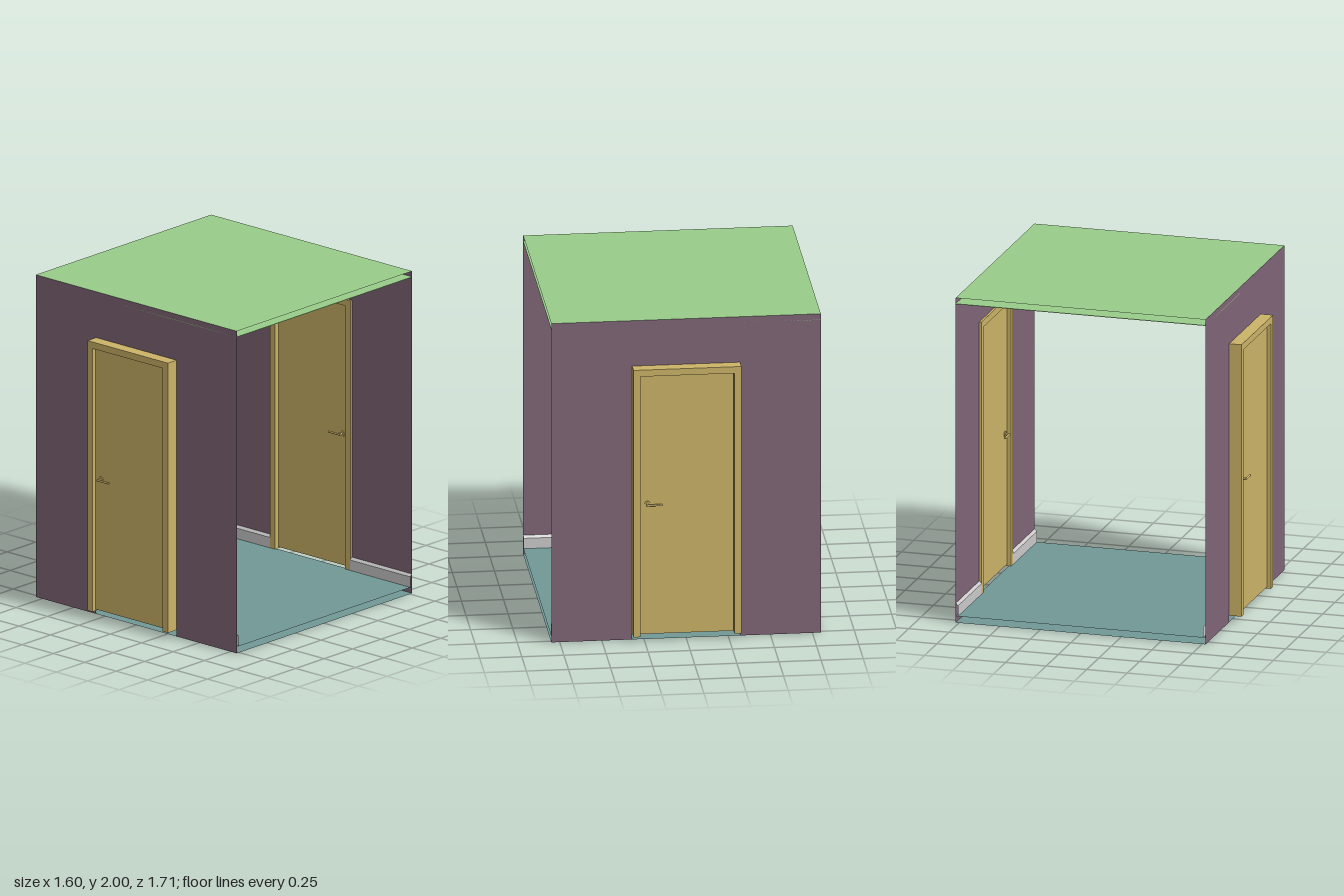
import * as THREE from 'three';

const mat = (color) => new THREE.MeshStandardMaterial({ color, side: THREE.DoubleSide });
const HX = 0.8, HZ = 0.771, H = 2;            // half width, half depth, height
const FLOOR = 0.04, CEIL = 1.963;             // finished floor and hung ceiling

export function createModel() {
  const wallMat = mat(0x806577), doorMat = mat(0xcbb367), greenMat = mat(0x98cc8a);
  const floorMat = mat(0x709896), grey = mat(0xcccccc);
  const model = new THREE.Group();
  model.name = 'room';

  const add = (parent, name, geo, material, x = 0, y = 0, z = 0) => {
    const m = new THREE.Mesh(geo, material);
    m.name = name;
    m.position.set(x, y, z);
    parent.add(m);
    return m;
  };
  const box = (parent, name, w, h, d, material, x, y, z) =>
    add(parent, name, new THREE.BoxGeometry(w, h, d), material, x, y, z);
  const slab = (name, y, material) =>
    add(model, name, new THREE.PlaneGeometry(2 * HX, 2 * HZ).rotateX(-Math.PI / 2), material, 0, y, 0);
  const polygon = (pts) => new THREE.Shape(pts.map(([x, y]) => new THREE.Vector2(x, y)));
  // Upside-down U, used for the wall around the opening and for the door frame
  const arch = (ox, top, ix, inner, bottom) => polygon([
    [-ox, bottom], [-ix, bottom], [-ix, inner], [ix, inner],
    [ix, bottom], [ox, bottom], [ox, top], [-ox, top]]);

  // Floor and roof sheets
  slab('floorUnderside', 0, floorMat);
  slab('floor', FLOOR, floorMat);
  slab('roof', H, greenMat);

  // Hung ceiling: three by three panels, the middle one is the lamp
  const xs = [-HX, -0.255, 0.255, HX], zs = [-HZ, -0.255, 0.255, HZ];
  for (let i = 0; i < 3; i++) for (let j = 0; j < 3; j++) {
    if (i === 1 && j === 1) continue;
    box(model, 'ceilingPanel', xs[i + 1] - xs[i], 0.003, zs[j + 1] - zs[j], greenMat,
      (xs[i] + xs[i + 1]) / 2, CEIL, (zs[j] + zs[j + 1]) / 2);
  }

  // Ceiling lamp: tapered housing, rim, and louvre grid
  const lamp = new THREE.Group();
  lamp.name = 'ceilingLamp';
  model.add(lamp);
  const housing = new THREE.CylinderGeometry(0.25 * Math.SQRT2, 0.255 * Math.SQRT2, 0.034, 4, 1, true)
    .rotateY(Math.PI / 4).toNonIndexed();
  housing.computeVertexNormals();
  add(lamp, 'lampHousing', housing, grey, 0, 1.98, 0);
  box(lamp, 'lampTop', 0.5, 0.003, 0.5, grey, 0, 1.9955, 0);
  for (const s of [-1, 1]) {
    box(lamp, 'lampRim', 0.53, 0.005, 0.02, grey, 0, 1.96, s * 0.255);
    box(lamp, 'lampRim', 0.02, 0.005, 0.49, grey, s * 0.255, 1.96, 0);
  }
  for (let i = 0; i < 5; i++) {
    const x = -0.24 + i * 0.12;
    box(lamp, 'lampDivider', 0.014, 0.022, 0.49, grey, x, 1.973, 0);
    if (i === 4) continue;
    for (let k = 0; k < 8; k++)
      box(lamp, 'lampLouvre', 0.106, 0.018, 0.005, grey, x + 0.06, 1.973, -0.21 + k * 0.06);
  }

  // Lever handle on one face of the door; side is +1 outside, -1 inside
  const handle = (parent, side) => {
    const g = new THREE.Group();
    g.name = 'handle';
    g.position.set(-0.235, 0.865, 0.802);
    const rod = (name, r, len, z) =>
      add(g, name, new THREE.CylinderGeometry(r, r, len, 20).rotateX(Math.PI / 2), doorMat, 0, 0, side * z);
    rod('rosette', 0.018, 0.008, 0.022);
    rod('handleNeck', 0.007, 0.032, 0.034);
    add(g, 'lever', new THREE.CylinderGeometry(0.006, 0.006, 0.092, 16).rotateZ(Math.PI / 2),
      doorMat, 0.039, 0, side * 0.047);
    parent.add(g);
  };

  // One end of the room: wall, door and skirting; the other end is turned half round
  for (const turn of [0, Math.PI]) {
    const end = new THREE.Group();
    end.name = turn ? 'backEnd' : 'frontEnd';
    end.rotation.y = turn;
    model.add(end);

    add(end, 'wall', new THREE.ShapeGeometry(arch(HX, H, 0.32, 1.715, 0)), wallMat, 0, 0, HZ);
    add(end, 'doorFrame', new THREE.ExtrudeGeometry(arch(0.32, 1.715, 0.279, 1.674, FLOOR),
      { depth: 0.09, bevelEnabled: false }), doorMat, 0, 0, 0.757);
    box(end, 'doorLeaf', 0.554, 1.622, 0.04, doorMat, -0.001, 0.861, 0.802);
    handle(end, 1);
    handle(end, -1);

    // Skirting with a sloped top edge, open at its ends
    for (const s of [-1, 1]) {
      const geo = new THREE.PlaneGeometry(HX - 0.32, 1, 1, 2);
      const rows = [[0.12, HZ - 0.001], [0.105, HZ - 0.015], [FLOOR, HZ - 0.015]];
      const p = geo.attributes.position;
      for (let i = 0; i < p.count; i++) {
        const [y, z] = rows[Math.floor(i / 2)];
        p.setXYZ(i, -p.getX(i), y, z);
      }
      const flat = geo.toNonIndexed();
      flat.computeVertexNormals();
      add(end, 'skirting', flat, grey, s * (HX + 0.32) / 2, 0, 0);
    }
  }
  return model;
}
